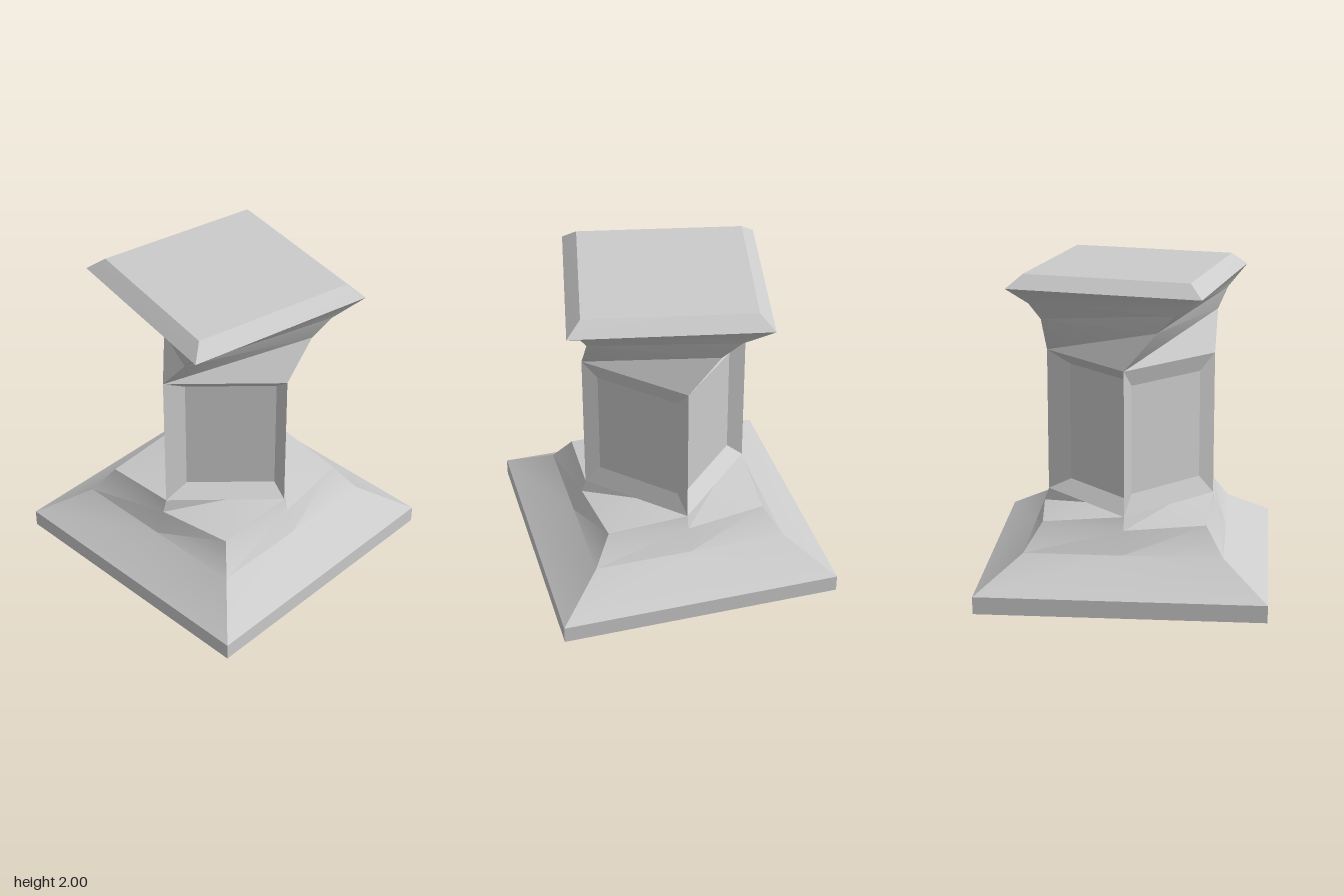
import * as THREE from 'three';
import { toCreasedNormals } from 'three/addons/utils/BufferGeometryUtils.js';

const V = (x, y, z) => new THREE.Vector3(x, y, z);
const material = new THREE.MeshStandardMaterial({ color: 0xcccccc });

// Turns a list of quads (corners counterclockwise from outside) into a mesh.
function quadMesh(name, quads, crease) {
  const pos = [];
  for (const [a, b, c, d] of quads) {
    for (const p of [a, b, c, a, c, d]) pos.push(p.x, p.y, p.z);
  }
  const geo = new THREE.BufferGeometry();
  geo.setAttribute('position', new THREE.Float32BufferAttribute(pos, 3));
  const mesh = new THREE.Mesh(toCreasedNormals(geo, crease), material);
  mesh.name = name;
  return mesh;
}

// Joins rings of equal length, from bottom to top.
function loft(rings) {
  const quads = [];
  for (let i = 0; i < rings.length - 1; i++) {
    const lo = rings[i], hi = rings[i + 1], n = lo.length;
    for (let j = 0; j < n; j++) {
      const k = (j + 1) % n;
      quads.push([lo[j], lo[k], hi[k], hi[j]]);
    }
  }
  return quads;
}

// Square ring given by its front corner, turned in quarter steps.
function cornerRing(y, x, z) {
  return [V(x, y, z), V(z, y, -x), V(-x, y, -z), V(-z, y, x)];
}

// Eight-point ring: side middles and corners alternate.
function baseRing(midY, mid, cornerY, corner) {
  const mids = cornerRing(midY, 0, mid);
  const corners = cornerRing(cornerY, corner, corner);
  return mids.flatMap((m, i) => [m, corners[i]]);
}

export function createModel() {
  const group = new THREE.Group();
  const R = 0.53, y0 = 0.52, y1 = 1.44;

  // Stepped square plinth whose top closes in to the diamond column
  const baseRings = [
    baseRing(0, 0.89, 0, 0.89),
    baseRing(0.11, 0.89, 0.11, 0.89),
    baseRing(0.3, 0.615, 0.3, 0.615),
    baseRing(0.44, 0.557, 0.47, 0.505),
    baseRing(y0, R, y0, R / 2),
  ];
  const b = cornerRing(0, 0.89, 0.89);
  group.add(quadMesh('base', [...loft(baseRings), [b[3], b[2], b[1], b[0]]], 0.5));

  // Diamond column: each side has a sunken panel with bevelled borders
  const corners = cornerRing(0, 0, R);
  const panels = [
    { from: [0.035, 0.38], to: [0.43, -0.015], lo: 0.6, hi: 1.36 },
    { from: [0.44, -0.04], to: [0.04, -0.44], lo: 0.64, hi: 1.33 },
  ];
  const shaft = [];
  for (let k = 0; k < 4; k++) {
    const { from, to, lo, hi } = panels[k % 2];
    const s = k < 2 ? 1 : -1; // opposite sides match after a half turn
    const a = corners[k], c = corners[(k + 1) % 4];
    const outer = [V(a.x, y0, a.z), V(c.x, y0, c.z), V(c.x, y1, c.z), V(a.x, y1, a.z)];
    const inner = [[from, lo], [to, lo], [to, hi], [from, hi]]
      .map(([p, y]) => V(s * p[0], y, s * p[1]));
    shaft.push(...loft([outer, inner]), inner);
  }
  group.add(quadMesh('column', shaft, 0.1));

  // Flared capital, twisting as it rises
  const capitalRings = [
    cornerRing(y1, 0, R),
    cornerRing(1.68, 0.2, 0.54),
    cornerRing(1.8, 0.31, 0.6),
    cornerRing(1.92, 0.47, 0.717),
  ];
  group.add(quadMesh('capital', loft(capitalRings), 0.6));

  // Bevelled slab on top
  const top = cornerRing(2, 0.4, 0.617);
  group.add(quadMesh('topSlab', [...loft([capitalRings[3], top]), top], 0.1));

  return group;
}
